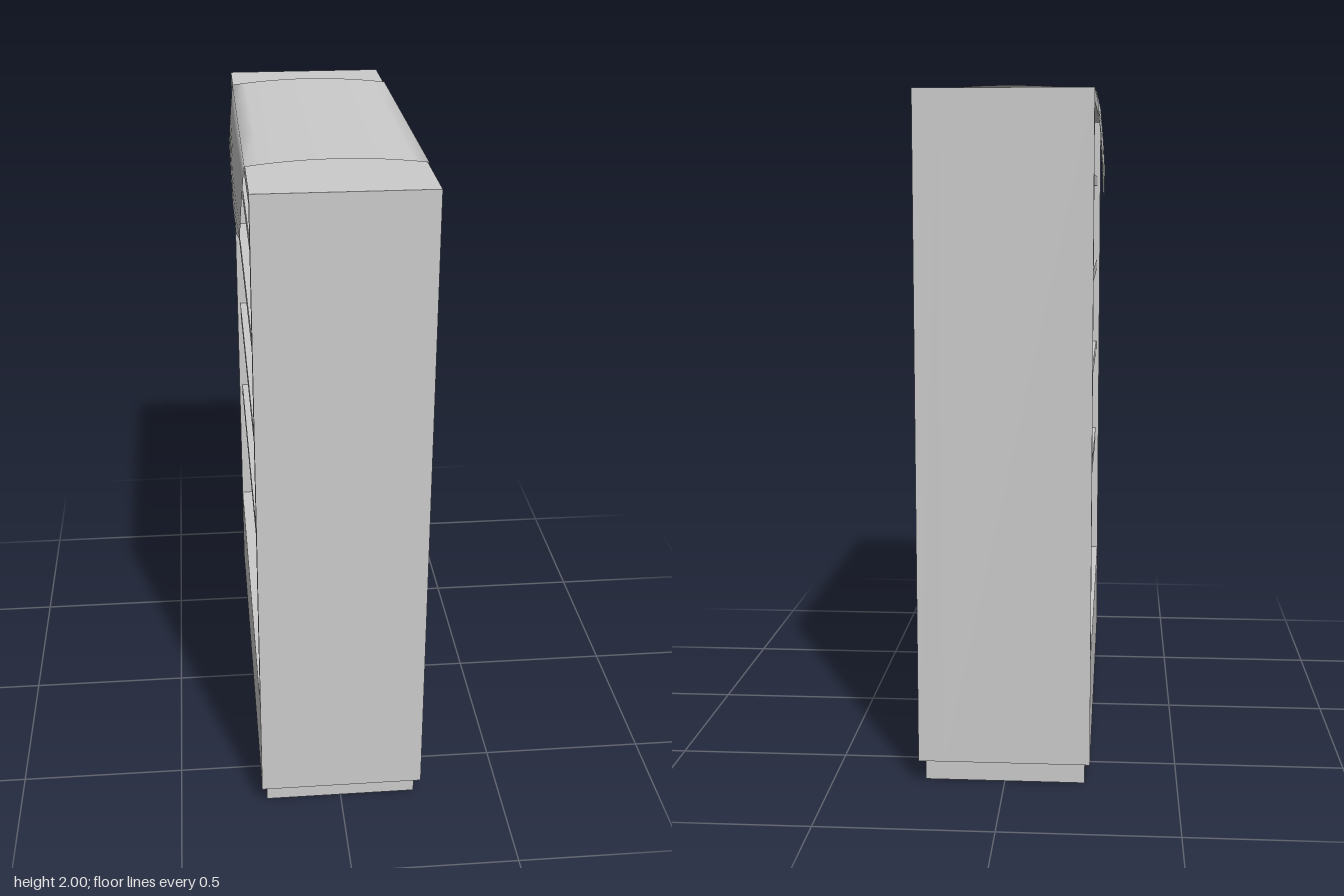
import * as THREE from 'three';

const W = 0.248, D = 0.698, Y0 = 0.07, Y1 = 1.98; // cabinet half width, half depth, bottom, top
const BACK = 0.175;                               // inner face of the back panel
const OPEN = { z: 0.664, y0: 0.375, y1: 1.945 };  // shelf opening on the -x side

const material = new THREE.MeshStandardMaterial({ color: 0xcccccc });
const clothMaterial = new THREE.MeshStandardMaterial({ color: 0xcccccc, side: THREE.DoubleSide });

function add(group, name, geometry, mat = material) {
  const mesh = new THREE.Mesh(geometry, mat);
  mesh.name = name;
  group.add(mesh);
  return mesh;
}

// Box given by its minimum and maximum on each axis
function box(x0, x1, y0, y1, z0, z1) {
  return new THREE.BoxGeometry(x1 - x0, y1 - y0, z1 - z0)
    .translate((x0 + x1) / 2, (y0 + y1) / 2, (z0 + z1) / 2);
}

// Frame around the opening: side walls, top and lower panel in one piece
function frameGeometry() {
  const shape = new THREE.Shape([
    new THREE.Vector2(-D, Y0), new THREE.Vector2(D, Y0),
    new THREE.Vector2(D, Y1), new THREE.Vector2(-D, Y1),
  ]);
  shape.holes.push(new THREE.Path([
    new THREE.Vector2(-OPEN.z, OPEN.y0), new THREE.Vector2(-OPEN.z, OPEN.y1),
    new THREE.Vector2(OPEN.z, OPEN.y1), new THREE.Vector2(OPEN.z, OPEN.y0),
  ]));
  return new THREE.ExtrudeGeometry(shape, { depth: W + BACK, bevelEnabled: false })
    .rotateY(-Math.PI / 2).translate(BACK, 0, 0);
}

// Chamfer between cabinet and plinth: a box narrowed at its lower side
function chamferGeometry() {
  const g = box(-W, W, 0.06, Y0, -D, D);
  const p = g.attributes.position;
  for (let i = 0; i < p.count; i++) {
    if (p.getY(i) < 0.065) p.setXYZ(i, p.getX(i) * 0.95, 0.06, p.getZ(i) * 0.965);
  }
  g.computeVertexNormals();
  return g;
}

// Cloth draped over the top, with a flap hanging on each side
function clothGeometry() {
  const stations = [[-0.495, 1.78], [-0.17, 1.69], [0.14, 1.69], [0.465, 1.78]]; // z, hem height
  const flapSteps = 6, topSteps = 12, edgeX = 0.25, edgeY = 1.984;
  const positions = [], index = [];
  const flap = (side, t, z, hem) => {
    const drop = t * (edgeY - hem);
    positions.push(side * (edgeX + 0.018 * Math.sin(Math.min(drop / 0.29, 1) * Math.PI / 2)), edgeY - drop, z);
  };
  for (const [z, hem] of stations) {
    for (let i = 0; i < flapSteps; i++) flap(-1, 1 - i / flapSteps, z, hem);
    for (let i = 0; i <= topSteps; i++) {
      const u = 2 * i / topSteps - 1;
      positions.push(u * edgeX, 2 - (2 - edgeY) * u * u, z);
    }
    for (let i = 1; i <= flapSteps; i++) flap(1, i / flapSteps, z, hem);
  }
  const row = positions.length / 3 / stations.length;
  for (let j = 0; j < stations.length - 1; j++) {
    for (let i = 0; i < row - 1; i++) {
      const a = j * row + i, b = a + row;
      index.push(a, b, a + 1, b, b + 1, a + 1);
    }
  }
  const g = new THREE.BufferGeometry();
  g.setAttribute('position', new THREE.Float32BufferAttribute(positions, 3));
  g.setIndex(index);
  g.computeVertexNormals();
  return g;
}

export function createModel() {
  const model = new THREE.Group();
  model.name = 'bookcase';

  // Body
  add(model, 'plinth', box(-0.232, 0.232, 0, 0.062, -0.66, 0.66));
  add(model, 'chamfer', chamferGeometry());
  add(model, 'frame', frameGeometry());
  add(model, 'backPanel', box(BACK, W, Y0, Y1, -D, D));

  // Shelves
  const shelves = new THREE.Group();
  shelves.name = 'shelves';
  for (const top of [0.83, 1.155, 1.455, 1.755]) {
    add(shelves, 'shelf', box(-W + 0.01, BACK, top - 0.034, top, -OPEN.z, OPEN.z));
  }
  model.add(shelves);

  // Cloth
  add(model, 'cloth', clothGeometry(), clothMaterial);
  return model;
}
